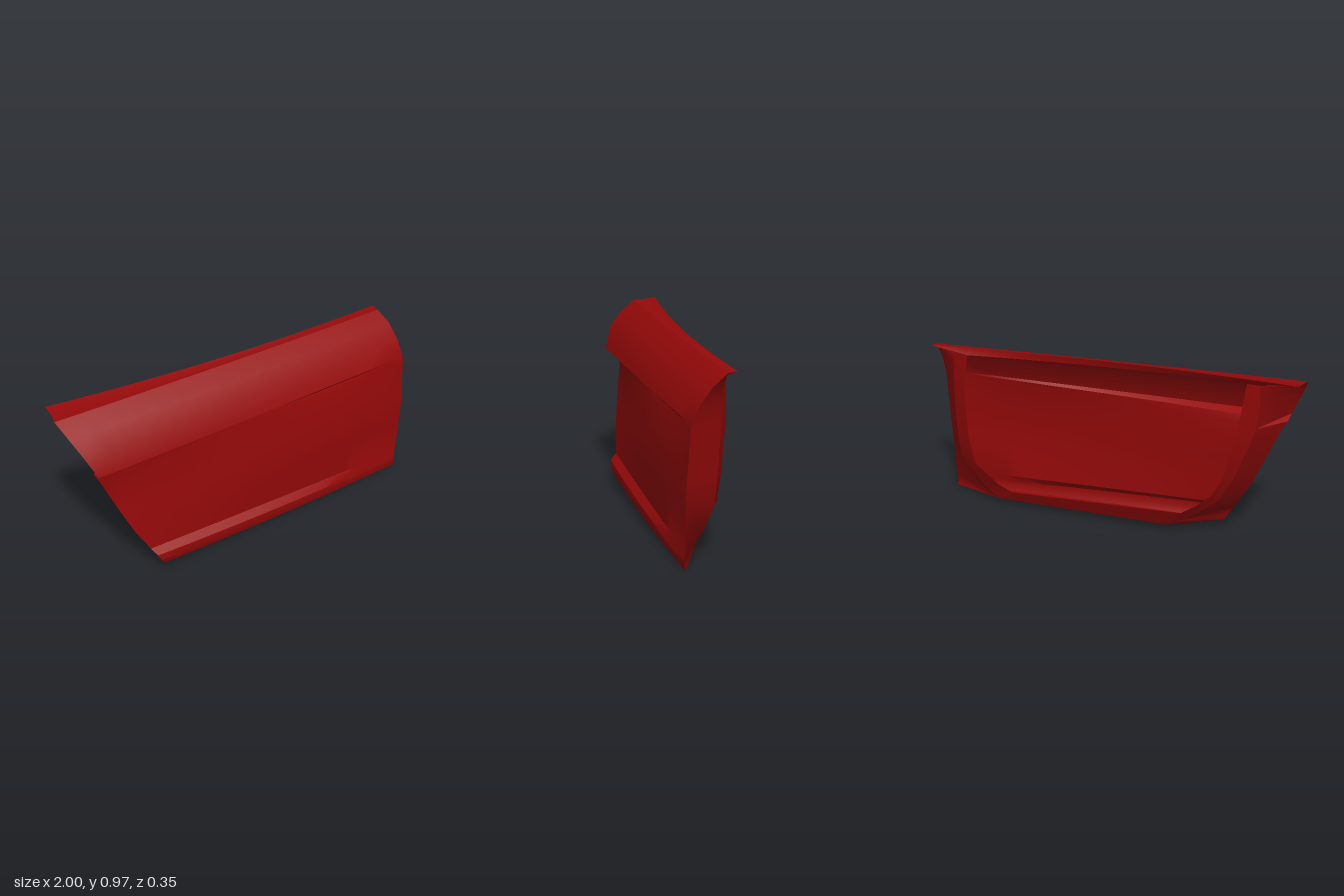
import * as THREE from 'three';
import { toCreasedNormals } from 'three/addons/utils/BufferGeometryUtils.js';

const V = (p) => new THREE.Vector3(...p);
const COLS = 16;

// Surface stretched over rows of equally many points
function loft(rows, crease) {
  const n = rows[0].length, pos = [], index = [];
  rows.forEach((row) => row.forEach((p) => pos.push(p.x, p.y, p.z)));
  for (let r = 0; r < rows.length - 1; r++) {
    for (let c = 0; c < n - 1; c++) {
      const a = r * n + c, b = a + n;
      index.push(a, b, a + 1, a + 1, b, b + 1);
    }
  }
  const g = new THREE.BufferGeometry();
  g.setAttribute('position', new THREE.Float32BufferAttribute(pos, 3));
  g.setIndex(index);
  return toCreasedNormals(g, crease);
}

// Each line of the outer skin: left end, right end, outward bow and rise at mid-length
const lines = [
  [[-0.98, 0.97, -0.173], [0.96, 0.91, -0.10], 0.045, 0],     // rear of top lip
  [[-0.985, 0.957, -0.105], [0.96, 0.907, -0.075], 0.02, 0],
  [[-1.0, 0.955, -0.055], [0.96, 0.905, -0.055], 0.01, 0],    // shoulder
  [[-0.975, 0.89, 0.03], [0.982, 0.85, 0.02], 0.01, 0],
  [[-0.945, 0.82, 0.095], [0.993, 0.775, 0.08], 0.01, 0],
  [[-0.89, 0.70, 0.135], [1.0, 0.687, 0.122], 0.006, 0],      // crease
  [[-0.885, 0.68, 0.077], [1.0, 0.678, 0.124], 0.014, 0],     // underside of crease
  [[-0.85, 0.62, 0.063], [1.0, 0.665, 0.126], 0.024, 0.012],  // foot of recess
  [[-0.76, 0.41, 0.10], [0.995, 0.41, 0.143], 0.023, 0],
  [[-0.70, 0.28, 0.12], [0.985, 0.28, 0.145], 0.014, 0],
  [[-0.625, 0.15, 0.135], [0.975, 0.09, 0.141], 0.004, 0],
  [[-0.605, 0.118, 0.168], [0.972, 0.05, 0.147], 0.014, 0],   // sill bulge
  [[-0.585, 0.08, 0.172], [0.971, 0.035, 0.147], 0.013, 0],
  [[-0.56, 0.042, 0.156], [0.97, 0.001, 0.14], 0.014, 0],     // bottom edge
];

// Back edge of the end walls, and edge of the opening, top to bottom
const curve = (pts) => new THREE.CatmullRomCurve3(pts.map(V));
const wallLeft = curve([[-0.78, 0.92, -0.1], [-0.77, 0.72, -0.08], [-0.69, 0.48, -0.05], [-0.56, 0.22, -0.015], [-0.3, 0.035, 0.01]]);
const wallRight = curve([[0.85, 0.875, -0.065], [0.87, 0.68, -0.052], [0.87, 0.45, -0.038], [0.84, 0.22, -0.02], [0.66, 0.028, 0.01]]);
const openLeft = curve([[-0.72, 0.93, -0.12], [-0.68, 0.7, -0.1], [-0.63, 0.46, -0.08], [-0.54, 0.27, -0.06], [-0.38, 0.14, -0.04]]);
const openRight = curve([[0.76, 0.88, -0.1], [0.79, 0.68, -0.095], [0.79, 0.45, -0.08], [0.74, 0.21, -0.055], [0.57, 0.095, -0.025]]);

export function createModel() {
  const group = new THREE.Group();
  const material = new THREE.MeshStandardMaterial({ color: 0x960909, side: THREE.DoubleSide });
  const add = (name, rows, crease) => {
    const mesh = new THREE.Mesh(loft(rows, crease), material);
    mesh.name = name;
    group.add(mesh);
  };

  // Outer skin
  const skin = lines.map(([l, r, bow, rise]) => Array.from({ length: COLS + 1 }, (_, i) => {
    const u = i / COLS, p = V(l).lerp(V(r), u), mid = 1 - (2 * u - 1) ** 2;
    p.z += bow * mid;
    p.y += rise * mid;
    return p;
  }));
  add('outerSkin', skin, 0.5);

  // U-shaped loops down the left end, along the bottom and up the right end
  const last = skin.length - 1;
  const edge = [], wall = [], opening = [];
  const put = (e, w, o) => { edge.push(e); wall.push(w); opening.push(o); };
  const drop = (c, r) => (skin[0][c].y - skin[r][c].y) / (skin[0][c].y - skin[last][c].y);
  for (let r = 0; r <= last; r++) {
    const t = drop(0, r);
    put(skin[r][0], wallLeft.getPoint(t), openLeft.getPoint(t));
  }
  for (let c = 1; c < COLS; c++) {
    const u = c / COLS;
    put(skin[last][c], wallLeft.getPoint(1).lerp(wallRight.getPoint(1), u),
      openLeft.getPoint(1).lerp(openRight.getPoint(1), u));
  }
  for (let r = last; r >= 0; r--) {
    const t = drop(COLS, r);
    put(skin[r][COLS], wallRight.getPoint(t), openRight.getPoint(t));
  }
  add('edgeWall', [edge, wall], 0.9);
  add('innerFlange', [wall, opening], 0.9);

  // Underside of the top lip, down to the top of the opening
  const a = openLeft.getPoint(0), b = openRight.getPoint(0);
  const under = skin[0].map((p, i) => {
    const u = i / COLS, q = a.clone().lerp(b, u);
    q.z += 0.03 * (1 - (2 * u - 1) ** 2);
    return q;
  });
  add('lipUnderside', [skin[0], under], 0.9);
  return group;
}
